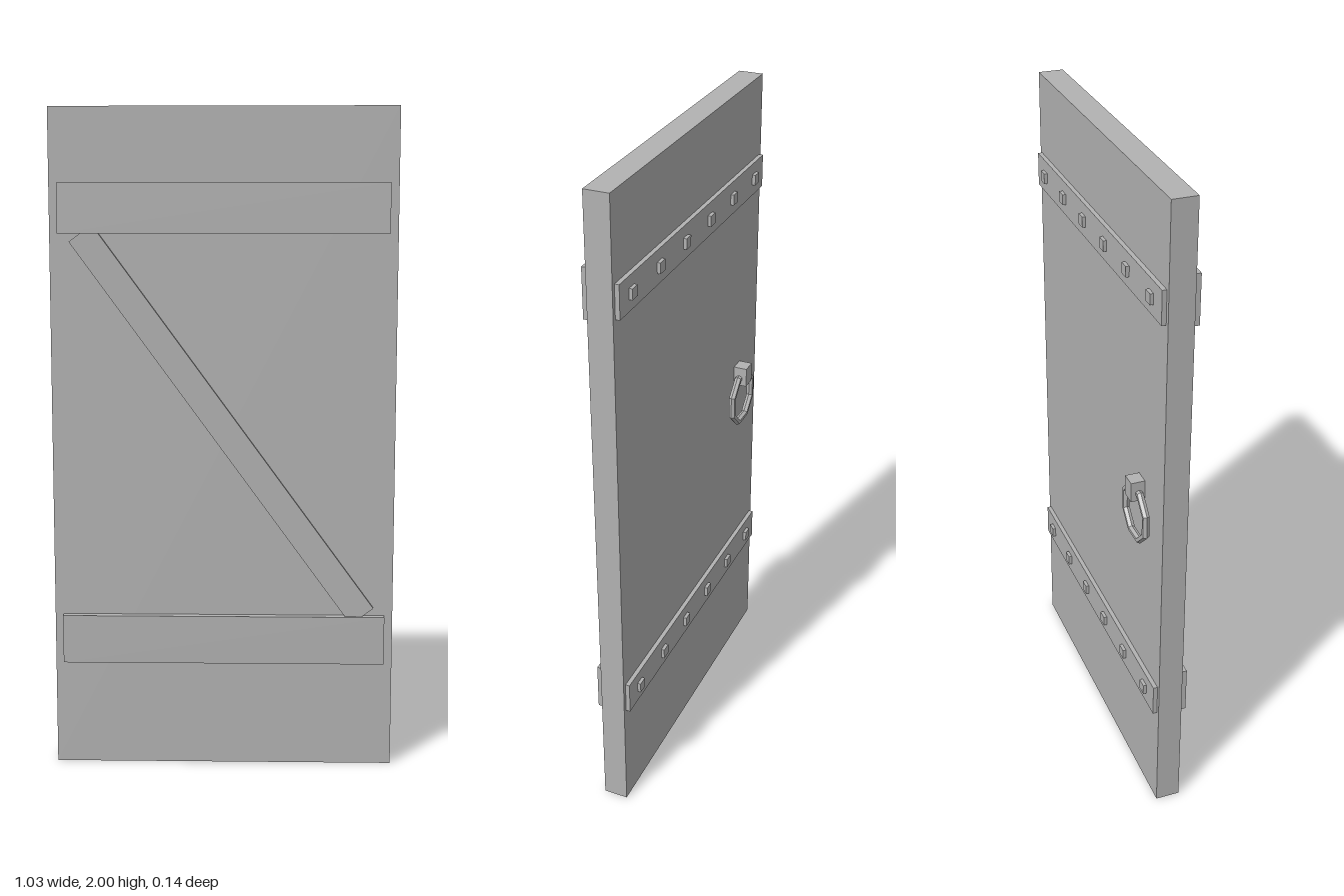
import * as THREE from 'three';

export function createModel() {
  const door = new THREE.Group();
  door.name = 'door';
  const grey = new THREE.MeshStandardMaterial({ color: 0xb2b2b2 });
  grey.name = 'plain grey';
  grey.flatShading = true;

  const add = (name, geometry, x, y, z) => {
    const mesh = new THREE.Mesh(geometry, grey);
    mesh.name = name;
    mesh.position.set(x, y, z);
    door.add(mesh);
    return mesh;
  };
  // box given its centre in x and y, and its z range
  const slab = (name, w, h, x, y, z0, z1) =>
    add(name, new THREE.BoxGeometry(w, h, z1 - z0), x, y, (z0 + z1) / 2);

  const back = -0.03, front = 0.044;
  slab('panel', 1.034, 2, 0, 1, back, front);

  // front: two battens and the diagonal brace between them
  for (const y of [0.398, 1.705]) slab('batten', 0.982, 0.148, 0, y, front, 0.069);
  slab('brace', 0.085, 1.435, 0, 1.052, front, 0.061).rotation.z = 0.631;

  // back: two iron straps with square studs
  for (const y of [0.398, 1.705]) {
    slab('strap', 1.008, 0.1, 0, y, -0.043, back);
    for (let i = 0; i < 6; i++) {
      slab('stud', 0.031, 0.032, (i - 2.5) * 0.173, y, -0.053, -0.043);
    }
  }

  // back: ring pull hanging from its mount
  slab('ringMount', 0.046, 0.062, -0.355, 1.074, -0.072, back);
  const ring = add('ringPull', new THREE.TorusGeometry(0.084, 0.011, 6, 8), -0.355, 0.99, -0.048);
  ring.rotation.z = Math.PI / 8;

  return door;
}
